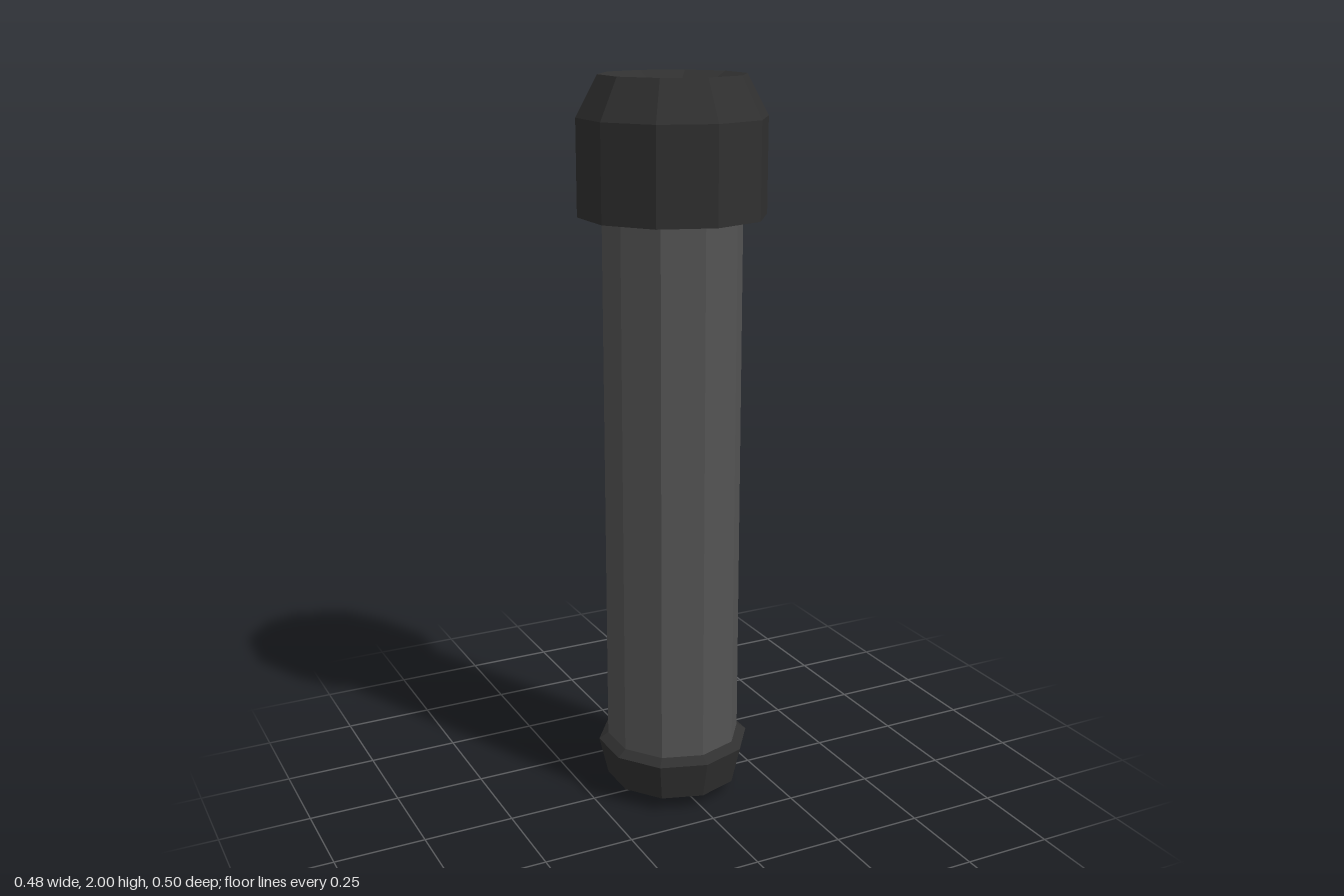
import * as THREE from 'three';

const SIDES = 10;

const darkGrey = new THREE.MeshStandardMaterial({ color: 0x303030 });
darkGrey.name = 'dark grey';
const midGrey = new THREE.MeshStandardMaterial({ color: 0x545454 });
midGrey.name = 'mid grey';

// Faceted ten-sided turning from [radius, height] points, listed from the bottom up
function turned(name, profile, material) {
  const points = profile.map(([r, y]) => new THREE.Vector2(r, y));
  const geometry = new THREE.LatheGeometry(points, SIDES).toNonIndexed();
  geometry.computeVertexNormals();
  const mesh = new THREE.Mesh(geometry, material);
  mesh.name = name;
  return mesh;
}

export function createModel() {
  const model = new THREE.Group();
  model.name = 'flashlight';

  // Tail cap with bevelled ends
  model.add(turned('tailCap', [
    [0, 0], [0.112, 0], [0.188, 0.04], [0.213, 0.147], [0.187, 0.165], [0, 0.165],
  ], darkGrey));

  // Long grip
  model.add(turned('barrel', [[0.187, 0.165], [0.187, 1.64]], midGrey));

  // Head: flat underside, bevelled shoulder, sloped rim and recessed lens floor
  model.add(turned('head', [
    [0, 1.64], [0.251, 1.64], [0.251, 1.893], [0.194, 2],
    [0.145, 1.977], [0.145, 1.91], [0, 1.91],
  ], darkGrey));

  return model;
}
